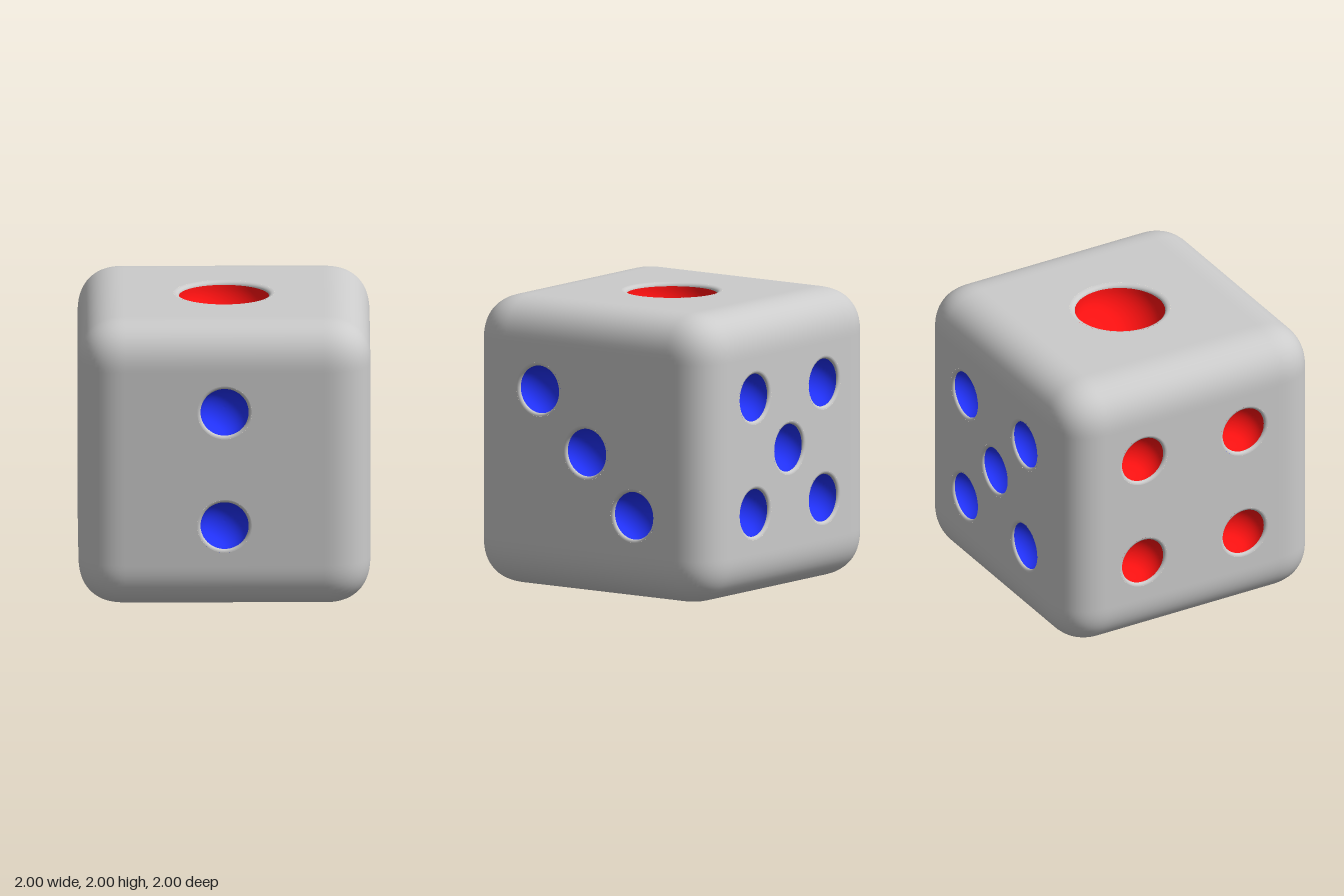
import * as THREE from 'three';

const FLAT = 0.68;          // half-width of the flat part of each face
const ROUND = 1 - FLAT;     // reach of the rounded edges
const POWER = 2.4;          // fullness of the edge curve
const SEGMENTS = 48;        // around each pip

const grey = new THREE.MeshStandardMaterial({ color: 0xcccccc });
const red = new THREE.MeshStandardMaterial({ color: 0xff1111 });
const blue = new THREE.MeshStandardMaterial({ color: 0x2233ff });

const small = { radius: 0.165, rim: 0.022, lip: 0.02, depth: 0.16, material: blue };
const smallRed = { ...small, material: red };
const large = { radius: 0.31, rim: 0.035, lip: 0.025, depth: 0.28, material: red };

// Pip layouts, seen with each face turned towards the viewer
const s = 0.4;
const corners = [[-s, -s], [s, -s], [-s, s], [s, s]];
const faces = [
  { name: 'topFace', turn: [-Math.PI / 2, 0], pip: large, spots: [[0, 0]] },
  { name: 'frontFace', turn: [0, 0], pip: small, spots: [[0, s], [0, -s]] },
  { name: 'leftFace', turn: [0, Math.PI / 2], pip: small, spots: [[-s, s], [0, 0], [s, -s]] },
  { name: 'rightFace', turn: [0, -Math.PI / 2], pip: smallRed, spots: corners },
  { name: 'backFace', turn: [0, Math.PI], pip: small, spots: [...corners, [0, 0]] },
  { name: 'bottomFace', turn: [Math.PI / 2, 0], pip: small, spots: [...corners, [0, s], [0, -s]] },
];

function mesh(name, geometry, material) {
  const m = new THREE.Mesh(geometry, material);
  m.name = name;
  return m;
}

// Rounded edges and corners: a box bent to a soft curve, with the flat squares left out
function roundedEdges() {
  const steps = 8;
  const n = 2 * (steps + 1);
  const geometry = new THREE.BoxGeometry(2, 2, 2, n, n, n);
  const pos = geometry.attributes.position;
  const nor = geometry.attributes.normal;
  const flat = [];
  for (let i = 0; i < pos.count; i++) {
    const p = [pos.getX(i), pos.getY(i), pos.getZ(i)];
    // offset beyond the flat core, in even angular steps
    const d = p.map((v) => {
      const k = Math.max(0, Math.abs(v) * (steps + 1) - 1) / steps;
      return Math.sign(v) * Math.tan(k * Math.PI / 4);
    });
    const core = p.map((v) => Math.sign(v) * FLAT * Math.min(1, Math.round(Math.abs(v) * (steps + 1))));
    const length = d.reduce((sum, v) => sum + Math.abs(v) ** POWER, 0) ** (1 / POWER);
    const q = core.map((v, j) => v + ROUND * d[j] / length);
    const normal = new THREE.Vector3(...d.map((v) => Math.sign(v) * Math.abs(v) ** (POWER - 1))).normalize();
    pos.setXYZ(i, ...q);
    nor.setXYZ(i, normal.x, normal.y, normal.z);
    flat.push(d.filter((v) => Math.abs(v) > 1e-6).length === 1);
  }
  const kept = [];
  const index = geometry.index.array;
  for (let i = 0; i < index.length; i += 3) {
    const tri = [index[i], index[i + 1], index[i + 2]];
    if (!tri.every((v) => flat[v])) kept.push(...tri);
  }
  geometry.setIndex(kept);
  geometry.clearGroups();
  return geometry;
}

// Flat square with a round opening for every pip
function facePanel({ pip, spots }) {
  const shape = new THREE.Shape();
  shape.moveTo(-FLAT, -FLAT).lineTo(FLAT, -FLAT).lineTo(FLAT, FLAT).lineTo(-FLAT, FLAT).closePath();
  for (const [x, y] of spots) {
    const hole = new THREE.Path();
    hole.absarc(x, y, pip.radius + pip.rim, 0, Math.PI * 2, true);
    shape.holes.push(hole);
  }
  return new THREE.ShapeGeometry(shape, SEGMENTS);
}

// Quarter-ellipse profile turned about the outward axis
function turned(steps, point) {
  const profile = Array.from({ length: steps + 1 }, (_, i) => point(i / steps * Math.PI / 2));
  return new THREE.LatheGeometry(profile, SEGMENTS).rotateX(Math.PI / 2);
}

// Softened rim leading into a coloured bowl
function makePip({ radius, rim, lip, depth, material }) {
  const group = new THREE.Group();
  group.name = 'pip';
  const rimShape = turned(5, (a) => new THREE.Vector2(
    radius + rim * (1 - Math.sin(a)), -lip * (1 - Math.cos(a))));
  const bowlShape = turned(14, (a) => new THREE.Vector2(
    Math.max(0, radius * Math.cos(a)), -lip - (depth - lip) * Math.sin(a)));
  group.add(mesh('pipRim', rimShape, grey), mesh('pipBowl', bowlShape, material));
  return group;
}

export function createModel() {
  const model = new THREE.Group();
  model.name = 'die';
  const body = new THREE.Group();
  body.name = 'body';
  body.position.y = 1;
  model.add(body);
  body.add(mesh('roundedEdges', roundedEdges(), grey));

  for (const face of faces) {
    const group = new THREE.Group();
    group.name = face.name;
    group.rotation.set(face.turn[0], face.turn[1], 0);
    group.add(mesh('facePanel', facePanel(face).translate(0, 0, 1), grey));
    for (const [x, y] of face.spots) {
      const pip = makePip(face.pip);
      pip.position.set(x, y, 1);
      group.add(pip);
    }
    body.add(group);
  }
  return model;
}
